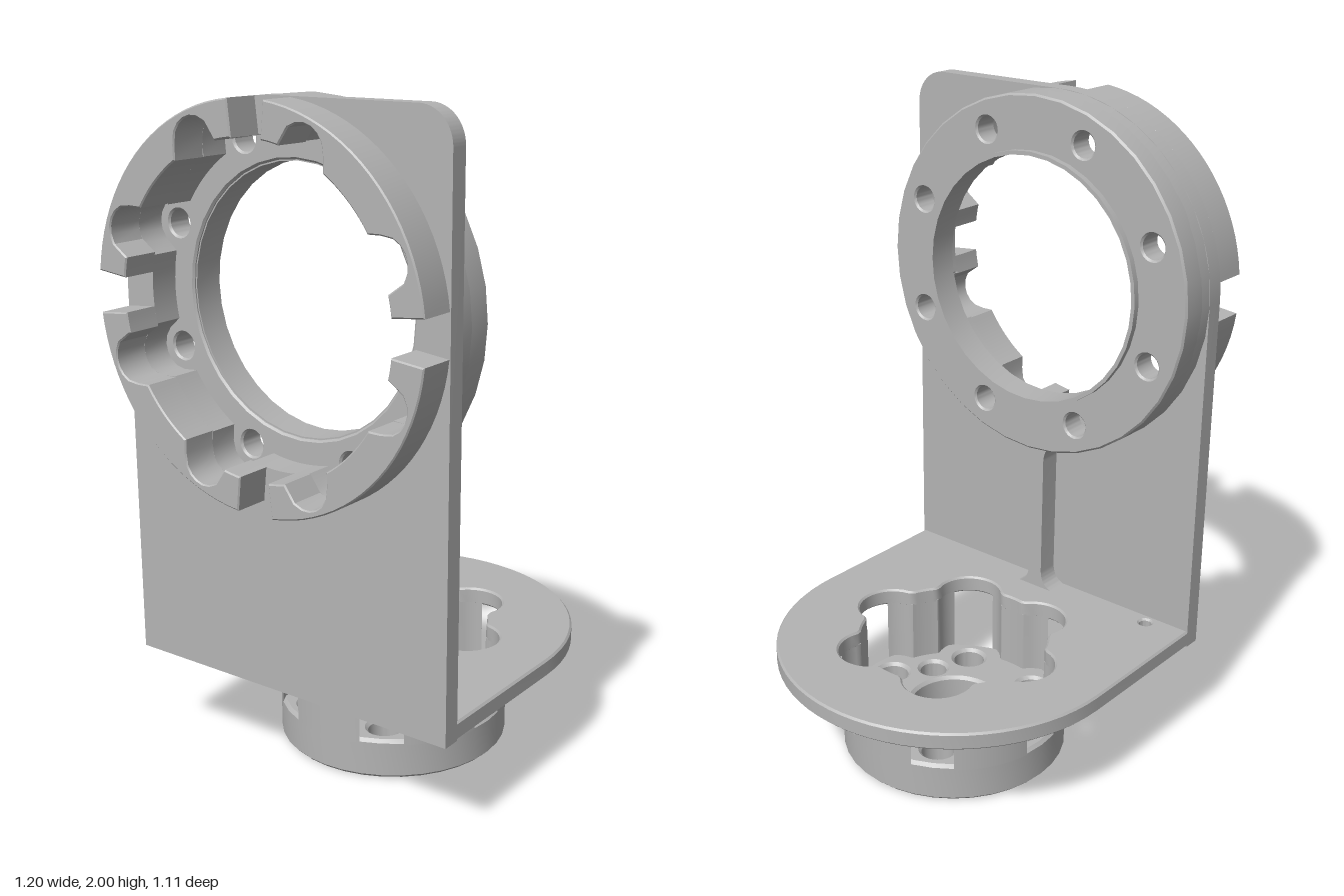
import * as THREE from 'three';
import { toCreasedNormals } from 'three/addons/utils/BufferGeometryUtils.js';

const RING_Y = 1.445, RING_R = 0.555, CUP_X = 0.045, CUP_R = 0.355;
const rad = THREE.MathUtils.degToRad;

// Radius of a circle with evenly spaced round lobes, at angle t
function lobedRadius(t, base, count, offset, dist, lobeR) {
  const step = (Math.PI * 2) / count;
  const d = t - offset - Math.round((t - offset) / step) * step;
  const s = lobeR ** 2 - (dist * Math.sin(d)) ** 2;
  return s > 0 ? Math.max(base, dist * Math.cos(d) + Math.sqrt(s)) : base;
}
const cupPocket = t => lobedRadius(t, 0.295, 6, rad(30), 0.267, 0.105);
const ringPocket = t => lobedRadius(t, 0.455, 8, rad(22.5), 0.466, 0.07);

// Points along a polar curve r(t)
function polar(radius, a0, a1, n, cx = 0, cy = 0) {
  return Array.from({ length: n + 1 }, (_, i) => {
    const t = a0 + ((a1 - a0) * i) / n, r = radius(t);
    return new THREE.Vector2(cx + r * Math.cos(t), cy + r * Math.sin(t));
  });
}
const closedPath = (radius, cx, cy) => new THREE.Path(polar(radius, 0, Math.PI * 2, 144, cx, cy).slice(0, -1));
const sector = (outer, inner, a0, a1, cx, cy) => new THREE.Shape([
  ...polar(() => outer, a0, a1, 20, cx, cy), ...polar(inner, a1, a0, 32, cx, cy)]);

function disc(r, cx, cy) {
  const s = new THREE.Shape();
  s.absarc(cx, cy, r, 0, Math.PI * 2, false);
  return s;
}
function addHole(shape, cx, cy, r) {
  const p = new THREE.Path();
  p.absarc(cx, cy, r, 0, Math.PI * 2, true);
  shape.holes.push(p);
}
function addHoleCircle(shape, cx, cy, dist, r, count, offset) {
  for (let i = 0; i < count; i++) {
    const t = offset + (i * Math.PI * 2) / count;
    addHole(shape, cx + dist * Math.cos(t), cy + dist * Math.sin(t), r);
  }
}

export function createModel() {
  const model = new THREE.Group();
  model.name = 'motorBracket';
  const grey = new THREE.MeshStandardMaterial({ color: 0xb4b4b4 });
  grey.name = 'plain grey';

  function extrude(shape, from, to, bevel) {
    const g = new THREE.ExtrudeGeometry(shape, {
      depth: to - from - 2 * bevel, curveSegments: 18, bevelEnabled: bevel > 0,
      bevelThickness: bevel, bevelSize: bevel, bevelOffset: -bevel, bevelSegments: 1
    });
    return g.translate(0, 0, from + bevel);
  }
  function add(parent, name, geometry) {
    const mesh = new THREE.Mesh(toCreasedNormals(geometry, 0.5), grey);
    mesh.name = name;
    parent.add(mesh);
  }
  // Horizontal parts rise along y; upright parts are drawn in (-z, y) and grow along x
  const flat = (parent, name, shape, y0, y1, bevel = 0) =>
    add(parent, name, extrude(shape, y0, y1, bevel).rotateX(-Math.PI / 2));
  const upright = (parent, name, shape, x0, x1, bevel = 0) =>
    add(parent, name, extrude(shape, x0, x1, bevel).rotateY(Math.PI / 2));
  function group(name) {
    const g = new THREE.Group();
    g.name = name;
    model.add(g);
    return g;
  }

  // Base plate with a rounded end and a six-lobed opening
  const base = new THREE.Shape();
  base.moveTo(-0.46, -RING_R);
  base.lineTo(CUP_X, -RING_R);
  base.absarc(CUP_X, 0, RING_R, -Math.PI / 2, Math.PI / 2, false);
  base.lineTo(-0.46, RING_R);
  base.holes.push(closedPath(cupPocket, CUP_X, 0));
  addHole(base, -0.4, 0.42, 0.02);
  flat(model, 'basePlate', base, 0.32, 0.375, 0.006);

  // Cup below the base: drilled floor and walls left open where the lobes break through
  const cup = group('cup');
  const floor = disc(CUP_R, CUP_X, 0);
  addHole(floor, CUP_X, 0, 0.14);
  addHoleCircle(floor, CUP_X, 0, 0.267, 0.05, 6, rad(30));
  addHoleCircle(floor, CUP_X, 0, 0.21, 0.043, 3, 0);
  flat(cup, 'cupFloor', floor, 0, 0.125, 0.01);
  for (let i = 0; i < 6; i++) {
    const wall = sector(CUP_R, cupPocket, rad(60 * i - 19.3), rad(60 * i + 19.3), CUP_X, 0);
    flat(cup, 'cupWall', wall, 0.11, 0.33);
  }

  // Upright plate: one rounded top corner, the other side follows the ring
  const plate = new THREE.Shape();
  plate.moveTo(-RING_R, 0.32);
  plate.lineTo(RING_R, 0.32);
  plate.lineTo(RING_R, RING_Y);
  plate.absarc(0, RING_Y, RING_R, 0, Math.PI / 2, false);
  plate.lineTo(-0.455, 2);
  plate.absarc(-0.455, 1.9, 0.1, Math.PI / 2, Math.PI, false);
  addHole(plate, 0, RING_Y, 0.54);
  upright(model, 'uprightPlate', plate, -0.49, -0.435);

  // Stiffening rib with flared ends
  const rib = new THREE.Shape();
  rib.moveTo(-0.09, 0.37);
  rib.lineTo(0.09, 0.37);
  rib.quadraticCurveTo(0.025, 0.375, 0.025, 0.44);
  rib.lineTo(0.025, 0.83);
  rib.quadraticCurveTo(0.025, 0.89, 0.09, 0.91);
  rib.lineTo(-0.09, 0.91);
  rib.quadraticCurveTo(-0.025, 0.89, -0.025, 0.83);
  rib.lineTo(-0.025, 0.44);
  rib.quadraticCurveTo(-0.025, 0.375, -0.09, 0.37);
  upright(model, 'rib', rib, -0.44, -0.365);

  // Ring: drilled flange, thin lip, scalloped body and notched rear rim
  const ring = group('ring');
  const flange = disc(RING_R, 0, RING_Y);
  addHole(flange, 0, RING_Y, 0.384);
  addHoleCircle(flange, 0, RING_Y, 0.466, 0.038, 8, rad(22.5));
  upright(ring, 'flange', flange, -0.4, -0.315, 0.006);

  const lip = disc(0.392, 0, RING_Y);
  addHole(lip, 0, RING_Y, 0.38);
  upright(ring, 'lip', lip, -0.39, -0.295);

  const body = disc(RING_R, 0, RING_Y);
  body.holes.push(closedPath(ringPocket, 0, RING_Y));
  upright(ring, 'ringBody', body, -0.49, -0.39);

  for (let i = 0; i < 4; i++) {
    const rim = sector(RING_R, ringPocket, rad(90 * i + 6.2), rad(90 * i + 83.8), 0, RING_Y);
    upright(ring, 'rearRim', rim, -0.6, -0.485, 0.004);
  }
  return model;
}
